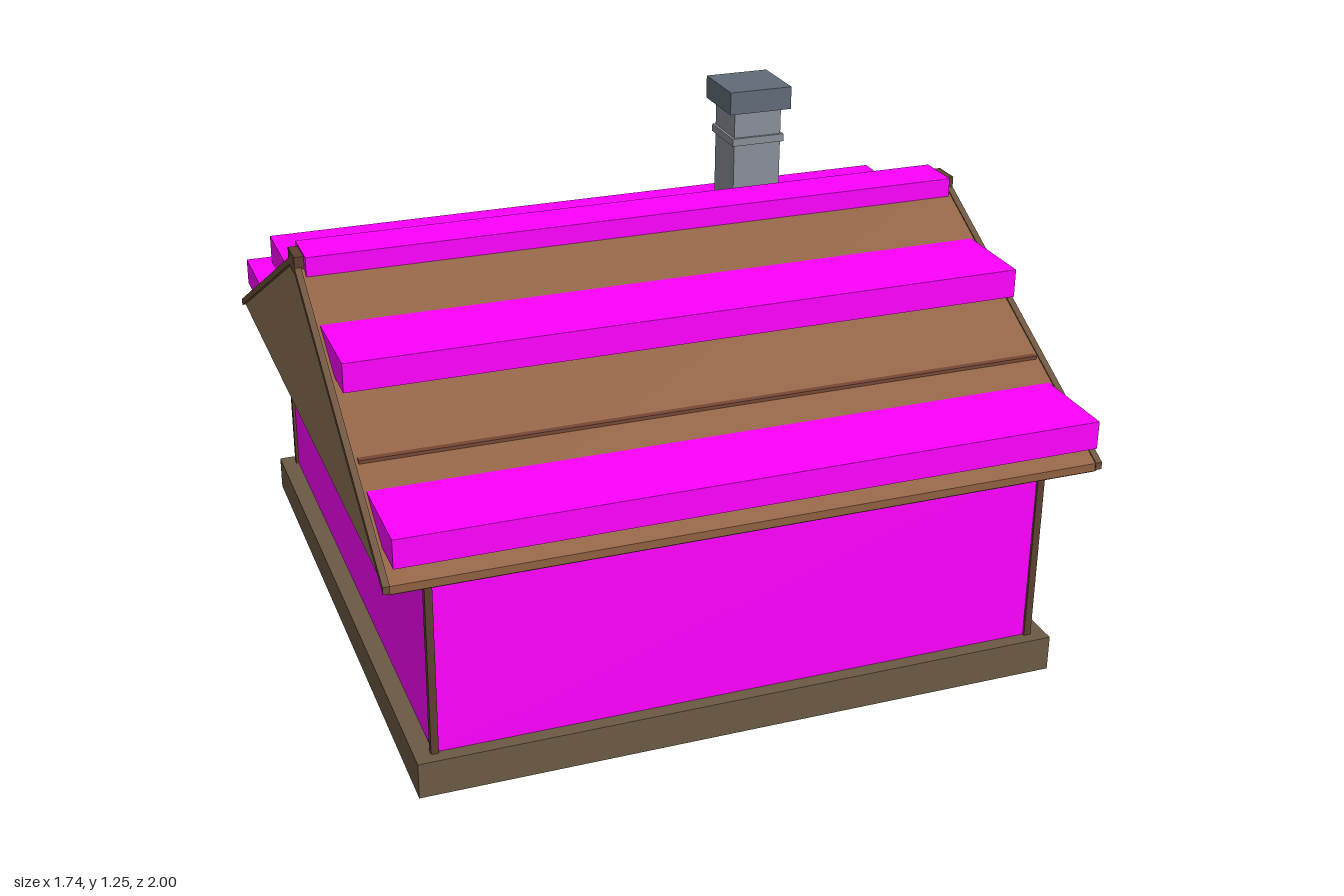
import * as THREE from 'three';

const mat = (color) => new THREE.MeshStandardMaterial({ color, flatShading: true });
const MAGENTA = mat(0xff00ff), STONE = mat(0x6b5a44), GABLE = mat(0x8f7254), ROOF = mat(0x8f6040);
const DARK = mat(0x5c4030), BATTEN = mat(0x774736), TRIM = mat(0x6b5038), GREY = mat(0x8a8f98);
const SLATE = mat(0x616c78), RED = mat(0xb5483a), LID = mat(0x70402f), CANOPY = mat(0xa48258), LAMP = mat(0xe0b878);
const MID = 0.155; // z of the ridge line

export function createModel() {
  const root = new THREE.Group();

  const add = (name, geometry, material, parent = root) => {
    const mesh = new THREE.Mesh(geometry, material);
    mesh.name = name;
    parent.add(mesh);
    return mesh;
  };
  // Box given by its limits on each axis
  const box = (name, material, [x0, x1], [y0, y1], [z0, z1], parent = root) => {
    const mesh = add(name, new THREE.BoxGeometry(x1 - x0, y1 - y0, z1 - z0), material, parent);
    mesh.position.set((x0 + x1) / 2, (y0 + y1) / 2, (z0 + z1) / 2);
    return mesh;
  };
  // Side outline of (z, y) points extruded along x
  const prism = (name, material, points, width, x = 0) => {
    const shape = new THREE.Shape(points.map(([z, y]) => new THREE.Vector2(z, y)));
    const geometry = new THREE.ExtrudeGeometry(shape, { depth: width, bevelEnabled: false });
    geometry.translate(0, 0, -width / 2).rotateY(-Math.PI / 2);
    const mesh = add(name, geometry, material);
    mesh.position.set(x, 0, MID);
    return mesh;
  };
  const chevron = (half, eave, apex, t) =>
    [[-half, eave - t], [0, apex - t], [half, eave - t], [half, eave], [0, apex], [-half, eave]];

  // Base and walls
  box('foundation', STONE, [-0.8, 0.8], [0, 0.09], [-0.64, 0.95]);
  box('walls', MAGENTA, [-0.755, 0.755], [0.09, 0.57], [-0.605, 0.915]);
  for (const x of [-0.753, 0.753])
    for (const z of [-0.603, 0.913])
      box('cornerPost', DARK, [x - 0.009, x + 0.009], [0.09, 0.57], [z - 0.009, z + 0.009]);

  // Roof
  prism('gable', GABLE, [[-0.83, 0.568], [0.83, 0.568], [0, 1.01]], 1.72);
  prism('roofCovering', ROOF, chevron(0.835, 0.58, 1.018, 0.02), 1.715);
  for (const x of [-0.86, 0.86])
    prism('bargeBoard', TRIM, chevron(0.838, 0.582, 1.022, 0.018), 0.016, x);
  box('ridgeCap', DARK, [-0.868, 0.868], [0.985, 1.03], [MID - 0.037, MID + 0.037]);
  box('ridgeStrip', MAGENTA, [-0.845, 0.845], [0.98, 1.035], [MID - 0.06, MID + 0.06]);
  box('tieBeam', DARK, [-0.82, 0.82], [0.557, 0.575], [MID - 0.01, MID + 0.01]);
  for (const s of [-1, 1]) {
    const span = (a, b) => [MID + s * a, MID + s * b].sort((p, q) => p - q);
    box('lowerRoofStrip', MAGENTA, [-0.845, 0.845], [0.625, 0.695], span(0.4, 0.845));
    box('upperRoofStrip', MAGENTA, [-0.845, 0.845], [0.845, 0.917], span(0.05, 0.422));
    box('roofBatten', BATTEN, [-0.845, 0.845], [0.715, 0.738], span(0.53, 0.55));
    box('fascia', TRIM, [-0.855, 0.855], [0.556, 0.576], span(0.81, 0.83));
  }

  // Chimney
  box('chimneyStack', GREY, [0.345, 0.475], [0.8, 1.19], [-0.17, -0.04]);
  box('chimneyBand', GREY, [0.338, 0.482], [1.1, 1.12], [-0.177, -0.033]);
  box('chimneyCap', SLATE, [0.325, 0.495], [1.19, 1.25], [-0.19, -0.022]);

  // Porch
  const porch = new THREE.Group();
  porch.name = 'porch';
  root.add(porch);
  const canopy = box('canopy', CANOPY, [-0.315, 0.315], [0.559, 0.587], [-0.89, -0.625], porch);
  canopy.rotation.x = 0.12;
  box('canopyLedger', TRIM, [-0.315, 0.315], [0.55, 0.58], [-0.66, -0.62], porch);
  box('canopyEdge', DARK, [-0.325, 0.325], [0.546, 0.562], [-0.897, -0.87], porch);
  box('canopyBeam', DARK, [-0.3, 0.3], [0.535, 0.565], [-0.795, -0.76], porch);
  for (const x of [-0.285, 0.285]) {
    box('porchPost', DARK, [x - 0.015, x + 0.015], [0.005, 0.565], [-0.79, -0.76], porch);
    box('postCapital', DARK, [x - 0.022, x + 0.022], [0.52, 0.54], [-0.797, -0.753], porch);
  }
  box('lowerStep', GREY, [-0.24, 0.24], [0.005, 0.04], [-0.84, -0.64], porch);
  box('upperStep', GREY, [-0.22, 0.22], [0.04, 0.05], [-0.77, -0.64], porch);
  box('lantern', LAMP, [-0.012, 0.012], [0.46, 0.507], [-0.76, -0.736], porch);
  box('lanternHanger', DARK, [-0.015, 0.015], [0.507, 0.56], [-0.753, -0.743], porch);
  for (const x of [-0.25, 0.25])
    box('doorTrim', DARK, [x - 0.006, x + 0.006], [0.09, 0.5], [-0.613, -0.6], porch);

  // Letter box on a post
  const mailbox = new THREE.Group();
  mailbox.name = 'mailbox';
  root.add(mailbox);
  box('mailboxFoot', GREY, [0.402, 0.448], [0.005, 0.022], [-0.968, -0.922], mailbox);
  box('mailboxPost', DARK, [0.415, 0.435], [0.02, 0.27], [-0.955, -0.935], mailbox);
  box('mailboxBody', RED, [0.355, 0.495], [0.26, 0.335], [-0.99, -0.905], mailbox);
  box('mailboxLid', LID, [0.35, 0.5], [0.335, 0.347], [-0.997, -0.9], mailbox);
  box('mailboxHandle', DARK, [0.41, 0.44], [0.3, 0.315], [-1, -0.988], mailbox);
  box('flagStem', RED, [0.5, 0.507], [0.32, 0.37], [-0.95, -0.943], mailbox);
  box('flag', RED, [0.498, 0.509], [0.365, 0.395], [-0.952, -0.903], mailbox);

  return root;
}
